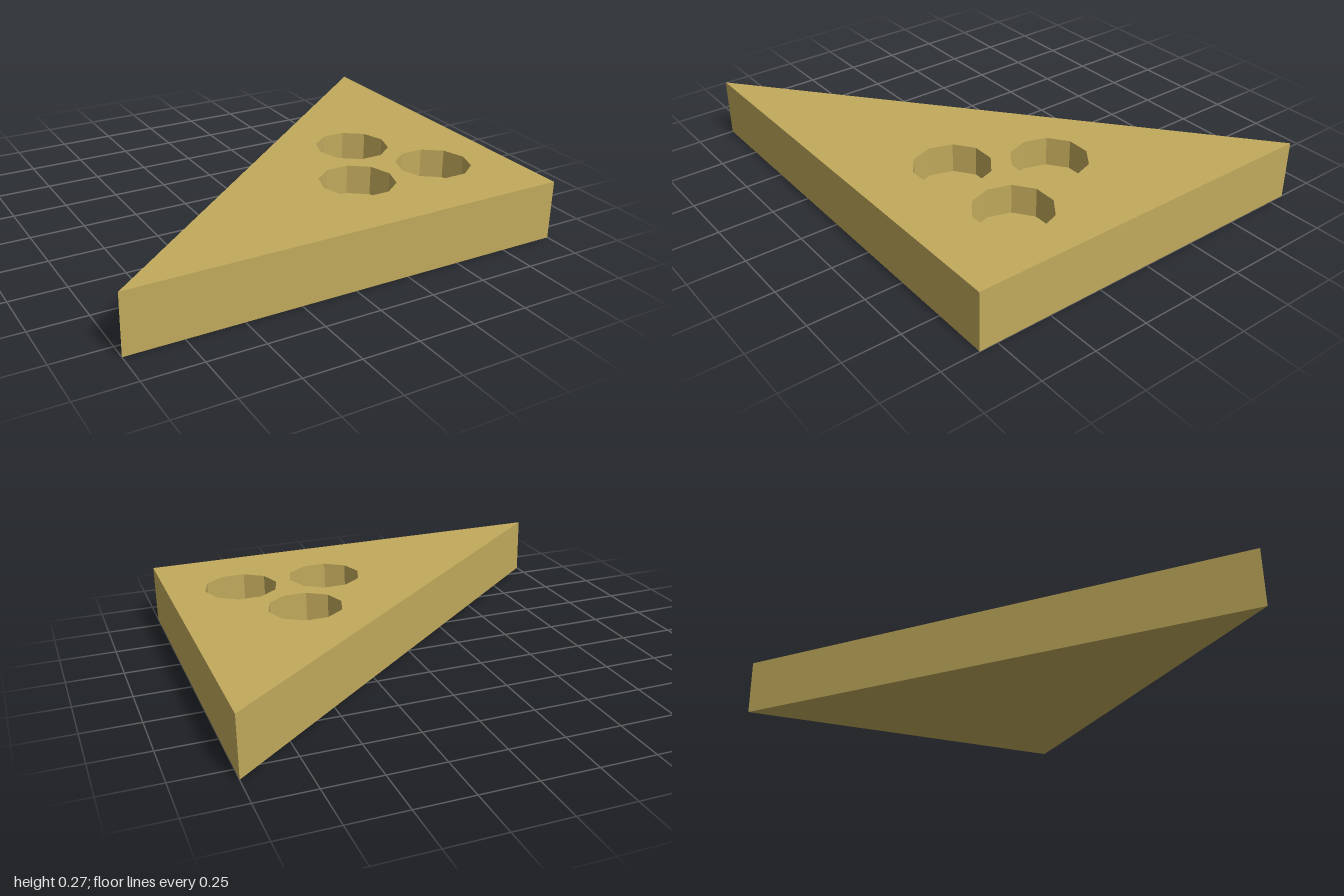
import * as THREE from 'three';
import { mergeGeometries } from 'three/addons/utils/BufferGeometryUtils.js';

const HEIGHT = 0.267;
const FLOOR = 0.134; // height of the well floors
const RADIUS = 0.168;
const WELLS = [[0.466, 0.063], [0.264, 0.416], [0.668, 0.416]]; // x, z
const OUTLINE = [[-1, 0.83], [1, 0.83], [1, -0.83]]; // x, z, anticlockwise from above

// Ten-sided ring of x, z points, anticlockwise from above
function ring([cx, cz]) {
  return Array.from({ length: 10 }, (_, i) => {
    const a = (i / 10) * Math.PI * 2;
    return [cx + RADIUS * Math.cos(a), cz - RADIUS * Math.sin(a)];
  });
}

// Flat horizontal face, looking up (side 1) or down (side -1)
function cap(points, y, side = 1, holes = []) {
  const to2D = (list) => list.map(([x, z]) => new THREE.Vector2(x, -side * z));
  const shape = new THREE.Shape(to2D(points));
  shape.holes = holes.map((h) => new THREE.Path(to2D(h)));
  return new THREE.ShapeGeometry(shape)
    .rotateX(-side * Math.PI / 2)
    .translate(0, y, 0)
    .toNonIndexed();
}

// Upright walls along a closed loop, facing out when the loop is anticlockwise
function walls(points, y0, y1) {
  const pos = [];
  const uv = [];
  points.forEach(([ax, az], i) => {
    const [bx, bz] = points[(i + 1) % points.length];
    pos.push(ax, y0, az, bx, y0, bz, bx, y1, bz, ax, y0, az, bx, y1, bz, ax, y1, az);
    uv.push(0, 0, 1, 0, 1, 1, 0, 0, 1, 1, 0, 1);
  });
  const geo = new THREE.BufferGeometry();
  geo.setAttribute('position', new THREE.Float32BufferAttribute(pos, 3));
  geo.setAttribute('uv', new THREE.Float32BufferAttribute(uv, 2));
  geo.computeVertexNormals();
  return geo;
}

export function createModel() {
  const group = new THREE.Group();
  group.name = 'wedge';
  const ochre = new THREE.MeshStandardMaterial({ color: 0xc2aa5c });
  ochre.name = 'ochre';

  const add = (name, parts) => {
    const mesh = new THREE.Mesh(mergeGeometries(parts), ochre);
    mesh.name = name;
    group.add(mesh);
  };

  // Triangular slab with openings in its top
  const rings = WELLS.map(ring);
  add('slab', [
    cap(OUTLINE, HEIGHT, 1, rings),
    cap(OUTLINE, 0, -1),
    walls(OUTLINE, 0, HEIGHT),
  ]);

  // Blind wells: inward-facing walls and a floor
  rings.forEach((r, i) => {
    add(`well${i + 1}`, [walls([...r].reverse(), FLOOR, HEIGHT), cap(r, FLOOR)]);
  });

  return group;
}
